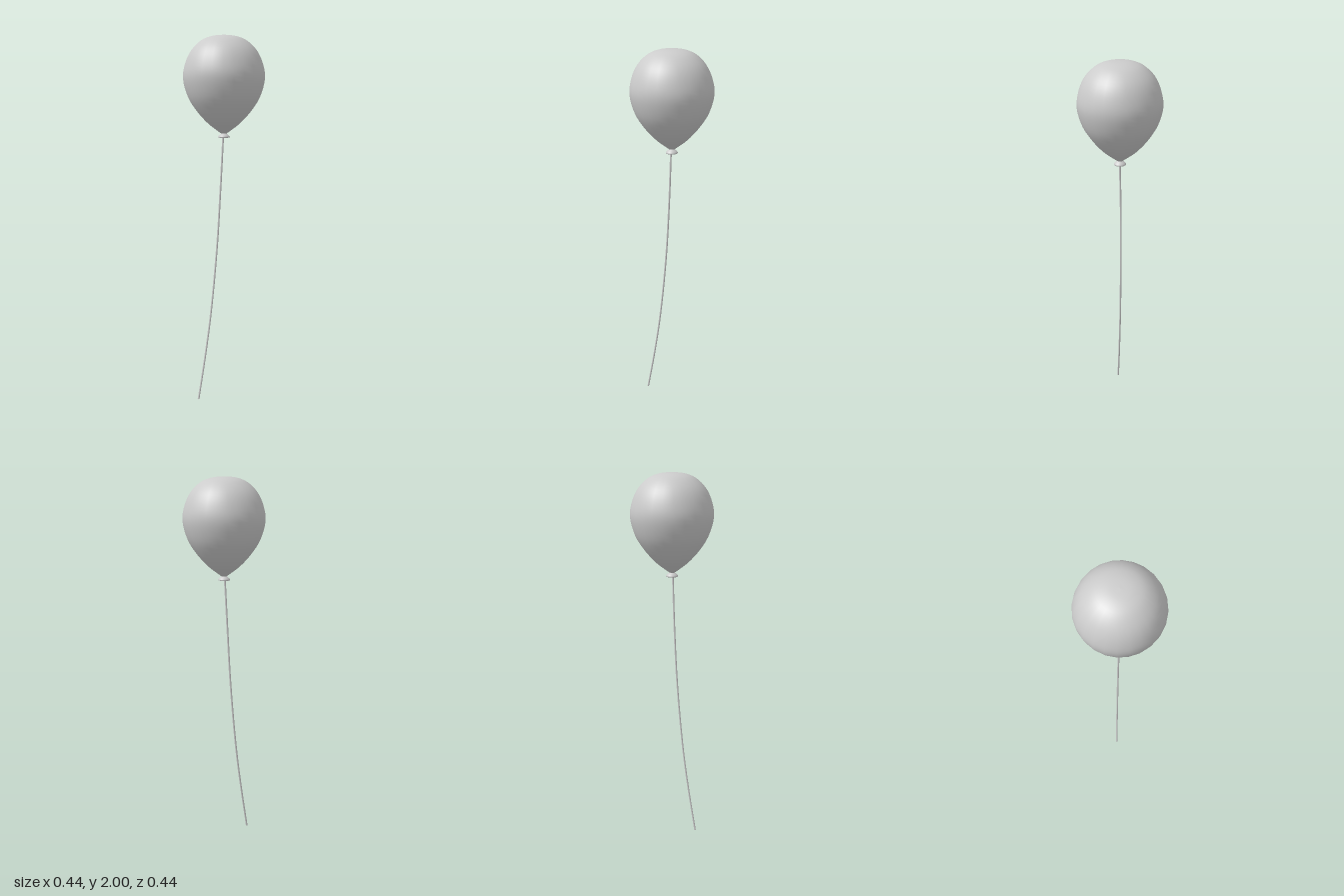
import * as THREE from 'three';

const material = new THREE.MeshStandardMaterial({ color: 0xcccccc, side: THREE.DoubleSide });

// Smooth turned surface; the profile runs from bottom to top as [radius, y]
function turned(name, profile, steps) {
  const curve = new THREE.SplineCurve(profile.map(([r, y]) => new THREE.Vector2(r, y)));
  const points = curve.getPoints(steps).map((p) => new THREE.Vector2(Math.max(p.x, 0), p.y));
  const mesh = new THREE.Mesh(new THREE.LatheGeometry(points, 24, Math.PI / 24), material);
  mesh.name = name;
  return mesh;
}

export function createModel() {
  const group = new THREE.Group();
  group.name = 'balloon';

  // Inflated teardrop body
  group.add(turned('body', [
    [0.012, 1.478], [0.035, 1.494], [0.09, 1.537], [0.147, 1.6], [0.194, 1.675],
    [0.22, 1.77], [0.209, 1.85], [0.176, 1.92], [0.122, 1.972], [0.062, 1.995], [0, 2.0],
  ], 40));

  // Flared open lip below the tied neck
  group.add(turned('lip', [
    [0.02, 1.461], [0.029, 1.457], [0.032, 1.461], [0.027, 1.469], [0.017, 1.477], [0.01, 1.484],
  ], 12));

  // Hanging string with a gentle bend
  const path = new THREE.CatmullRomCurve3([
    [-0.004, 1.482, 0], [-0.017, 1.18, -0.009], [-0.036, 0.865, -0.015],
    [-0.073, 0.495, -0.022], [-0.108, 0.257, -0.027], [-0.153, 0.001, -0.032],
  ].map((p) => new THREE.Vector3(...p)));
  const string = new THREE.Mesh(new THREE.TubeGeometry(path, 32, 0.005, 8), material);
  string.name = 'string';
  group.add(string);

  // End caps of the string
  for (const t of [0, 1]) {
    const cap = new THREE.Mesh(new THREE.CircleGeometry(0.005, 8), material);
    cap.name = 'stringEnd';
    cap.position.copy(path.getPointAt(t));
    cap.quaternion.setFromUnitVectors(
      new THREE.Vector3(0, 0, 1),
      path.getTangentAt(t).multiplyScalar(t ? 1 : -1),
    );
    group.add(cap);
  }

  return group;
}
